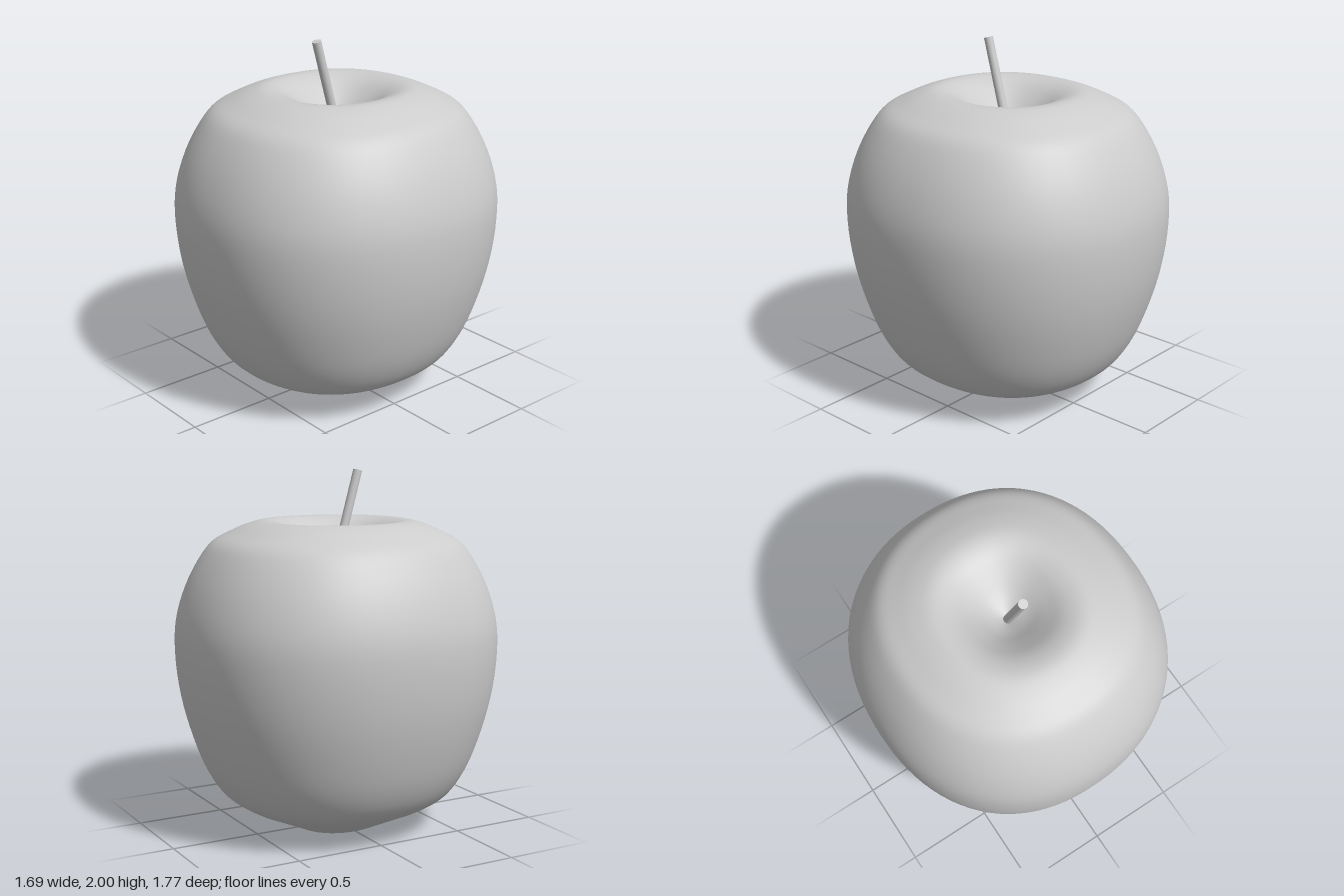
import * as THREE from 'three';
import { mergeVertices } from 'three/addons/utils/BufferGeometryUtils.js';

const SEGMENTS = 96;

// Squares off round cross-sections slightly and stretches them front to back
function squareOff(geometry) {
  const p = geometry.attributes.position;
  const n = 2.2;
  for (let i = 0; i < p.count; i++) {
    const x = p.getX(i), z = p.getZ(i);
    const r = Math.hypot(x, z);
    if (r < 1e-6) continue;
    const c = Math.abs(x / r), s = Math.abs(z / r);
    const k = Math.pow(Math.pow(c, n) + Math.pow(s, n), -1 / n);
    p.setX(i, x * k);
    p.setZ(i, z * k * 1.045);
  }
  geometry.deleteAttribute('uv');
  geometry.deleteAttribute('normal');
  const merged = mergeVertices(geometry, 1e-5);
  merged.computeVertexNormals();
  return merged;
}

export function createModel() {
  const group = new THREE.Group();
  group.name = 'apple';
  const grey = new THREE.MeshStandardMaterial({ color: 0xcccccc });
  grey.name = 'pale grey';

  const add = (name, geometry) => {
    const mesh = new THREE.Mesh(geometry, grey);
    mesh.name = name;
    group.add(mesh);
    return mesh;
  };

  // Fruit body: profile from the base, up the side and down into the dimple
  const profile = [
    [0.225, 0], [0.41, 0.09], [0.53, 0.15], [0.61, 0.21], [0.69, 0.335],
    [0.76, 0.52], [0.82, 0.76], [0.846, 1.0], [0.838, 1.18], [0.785, 1.37],
    [0.705, 1.53], [0.64, 1.613], [0.55, 1.665], [0.46, 1.705], [0.37, 1.725],
    [0.28, 1.7], [0.19, 1.635], [0.1, 1.56], [0, 1.5],
  ].map(([r, y]) => new THREE.Vector3(r, y, 0));
  const points = new THREE.CatmullRomCurve3(profile, false, 'centripetal')
    .getPoints(72)
    .map((v) => new THREE.Vector2(Math.max(v.x, 0), v.y));
  add('body', squareOff(new THREE.LatheGeometry(points, SEGMENTS)));

  // Flat base
  const base = new THREE.CircleGeometry(0.225, SEGMENTS);
  base.rotateX(Math.PI / 2);
  add('base', squareOff(base));

  // Straight stem leaning forward out of the dimple
  const foot = new THREE.Vector3(0, 1.48, -0.005);
  const tip = new THREE.Vector3(0, 1.994, 0.138);
  const axis = tip.clone().sub(foot);
  const stem = add('stem', new THREE.CylinderGeometry(0.025, 0.025, axis.length(), 20));
  stem.position.copy(foot).add(tip).multiplyScalar(0.5);
  stem.quaternion.setFromUnitVectors(new THREE.Vector3(0, 1, 0), axis.normalize());

  return group;
}
